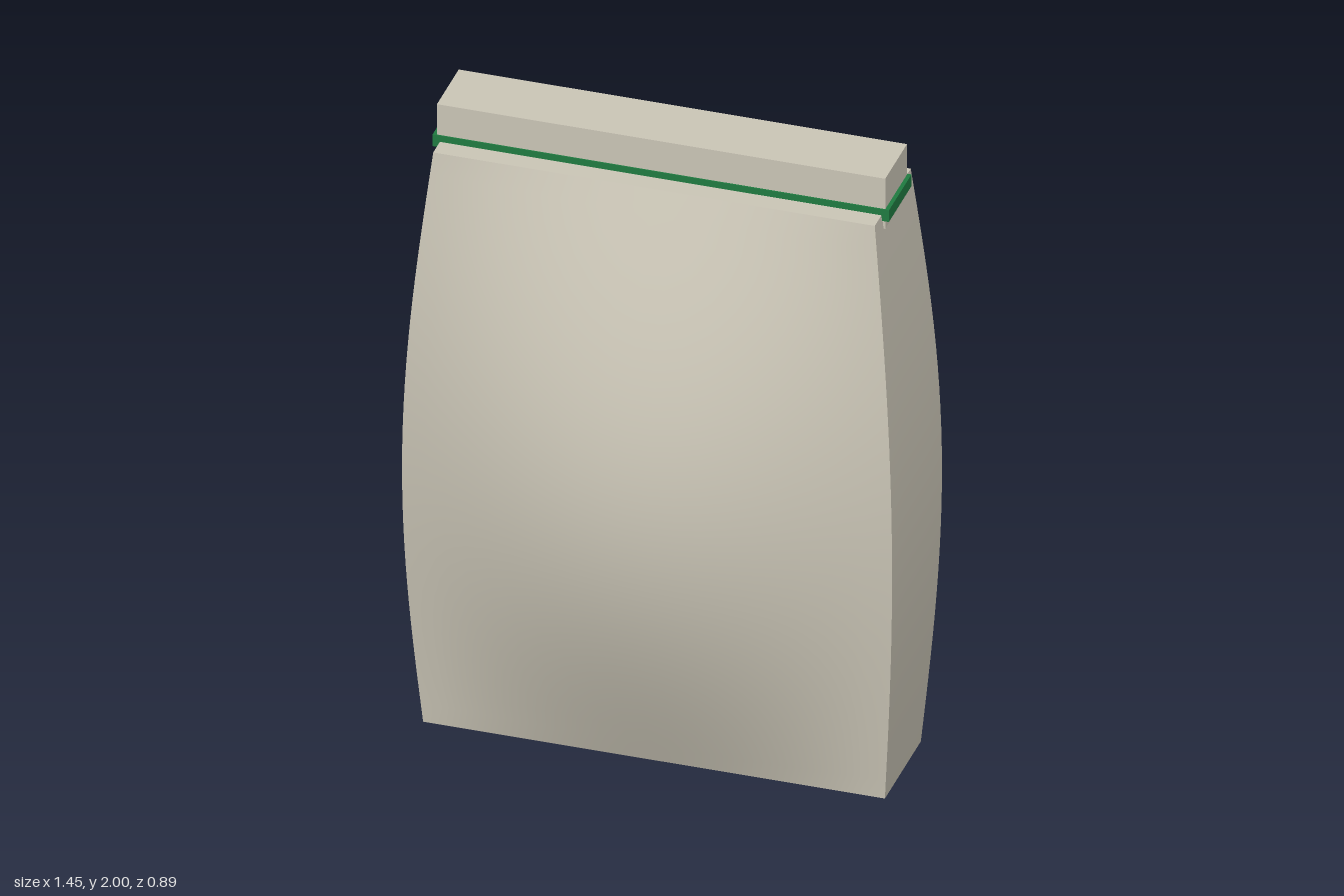
import * as THREE from 'three';

const HEIGHT = 1.88;

export function createModel() {
  const group = new THREE.Group();
  const paper = new THREE.MeshStandardMaterial({ color: 0xc9c4b5 });
  paper.name = 'beige';
  const green = new THREE.MeshStandardMaterial({ color: 0x1f7a40 });
  green.name = 'green';

  const add = (name, geometry, material, y) => {
    const mesh = new THREE.Mesh(geometry, material);
    mesh.name = name;
    mesh.position.y = y;
    group.add(mesh);
  };

  // Filled pouch: a tapered box whose broad faces swell towards the middle
  const body = new THREE.BoxGeometry(2, HEIGHT, 2, 20, 28, 4);
  body.translate(0, HEIGHT / 2, 0);
  const p = body.attributes.position;
  for (let i = 0; i < p.count; i++) {
    const u = p.getX(i), y = p.getY(i), w = p.getZ(i);
    const swell = Math.sin(Math.PI * y / HEIGHT);
    const halfWidth = 0.685 - 0.03 * y / HEIGHT + 0.056 * swell;
    const halfDepth = 0.165 + swell * (0.065 + 0.215 * Math.cos(u * Math.PI / 2));
    p.setXYZ(i, u * halfWidth, y, w * halfDepth);
  }
  body.computeVertexNormals();
  add('pouchBody', body, paper, 0);

  // Folded top and the band around it
  add('foldedTop', new THREE.BoxGeometry(1.33, 0.165, 0.2), paper, 1.9175);
  add('sealBand', new THREE.BoxGeometry(1.354, 0.038, 0.208), green, 1.881);

  return group;
}
